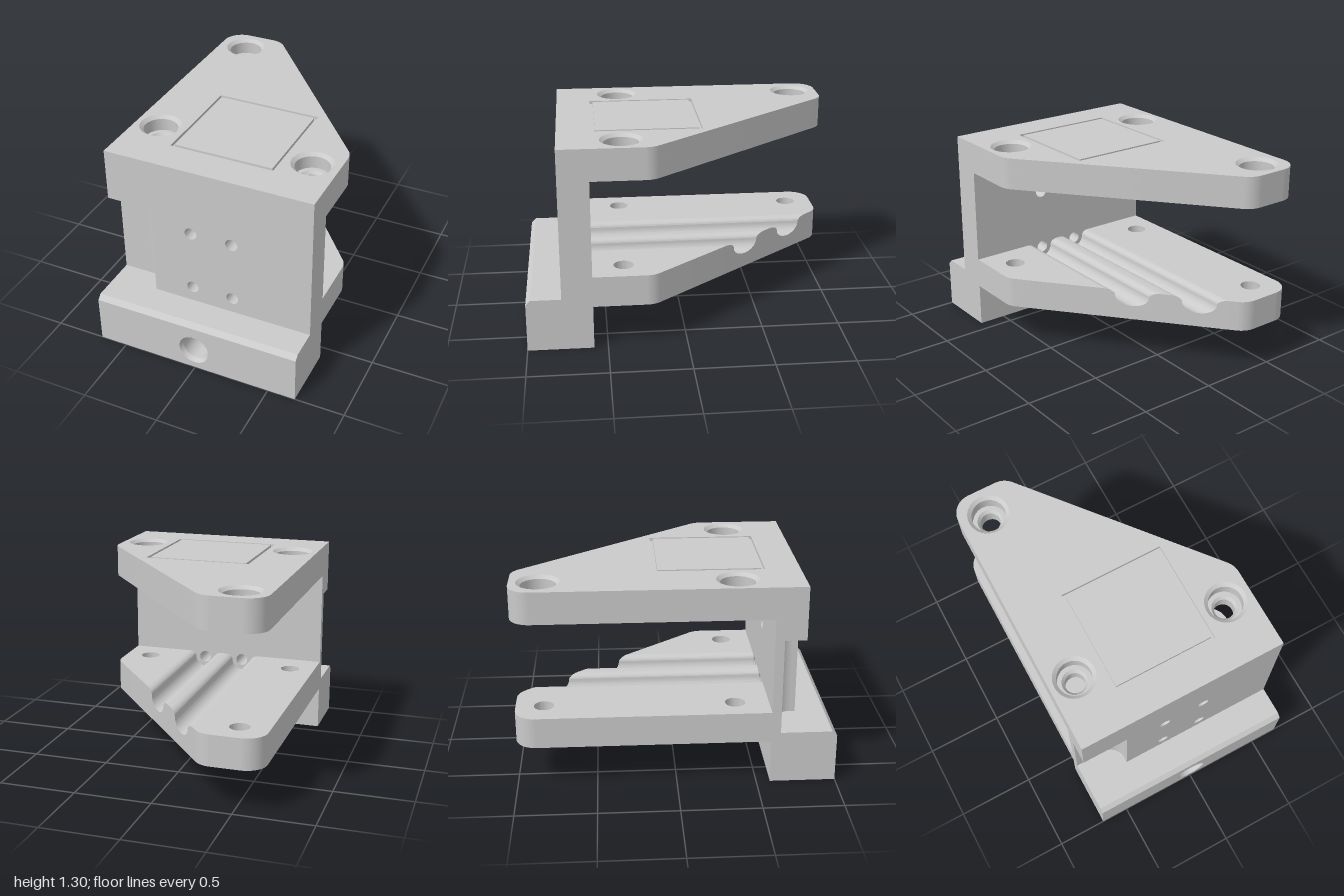
import * as THREE from 'three';
import { toCreasedNormals } from 'three/addons/utils/BufferGeometryUtils.js';

const HALF = 0.68, BACK = 0.587, FRONT = 0.78, PI = Math.PI;
const R = 0.13, TILT = -0.683;                                // plate corner radius, normal angle of slanted edge
const slant = x => -0.952 + (x + 0.263) * 1.2287;             // z of the slanted edge
const BOLTS = [[-0.495, -0.823], [-0.516, 0.373], [0.51, 0.389]];
const GROOVES = [0.16, -0.113];

export function createModel() {
  const model = new THREE.Group();
  const grey = new THREE.MeshStandardMaterial({ color: 0xcacaca });
  grey.name = 'plain grey';

  const add = (name, geometry) => {
    const mesh = new THREE.Mesh(toCreasedNormals(geometry, 0.45), grey);
    mesh.name = name;
    model.add(mesh);
  };
  const extrude = (shape, depth) =>
    new THREE.ExtrudeGeometry(shape, { depth, bevelEnabled: false, curveSegments: 24 });
  // shape drawn in (x, z), raised from y0 to y1
  const slab = (name, shape, y0, y1) =>
    add(name, extrude(shape, y1 - y0).rotateX(PI / 2).translate(0, y1, 0));
  // shape drawn in (x, y), running from z0 to z1
  const panel = (name, shape, z0, z1) => add(name, extrude(shape, z1 - z0).translate(0, 0, z0));
  const poly = pts => new THREE.Shape(pts.map(p => new THREE.Vector2(...p)));
  const rect = (x0, y0, x1, y1) => poly([[x0, y0], [x1, y0], [x1, y1], [x0, y1]]);
  const round = (x, y, r) => new THREE.Path().absarc(x, y, r, 0, 2 * PI, false);
  const hex = (x, y, r) => new THREE.Path(Array.from({ length: 6 }, (_, i) =>
    new THREE.Vector2(x + r * Math.sin(i * PI / 3), y + r * Math.cos(i * PI / 3))));
  const pierce = (shape, holes) => { shape.holes.push(...holes); return shape; };
  // inward-facing sloped ring, from radius r1 at height y1 down to r0 at y0
  const cone = (r1, y1, r0, y0, sides = 48) =>
    new THREE.LatheGeometry([new THREE.Vector2(r1, y1), new THREE.Vector2(r0, y0)], sides);

  // Straight side and rounded rear end shared by both plates
  const rearEnd = z => new THREE.Shape().moveTo(-HALF, z).lineTo(-HALF, -0.87)
    .absarc(-0.55, -0.87, R, PI, 1.5 * PI, false)
    .absarc(-0.364, -0.87, R, -PI / 2, TILT, false);

  // Top plate: outline with three counterbored bolt holes
  const outline = () => rearEnd(FRONT)
    .absarc(0.55, 0.253, R, TILT, 0, false)
    .lineTo(HALF, FRONT);
  const bored = r => pierce(outline(), BOLTS.map(([x, z]) => round(x, z, r)));
  slab('topPlateLower', bored(0.063), 1.097, 1.18);
  slab('topPlateSeat', bored(0.08), 1.18, 1.2);
  slab('topPlateBore', bored(0.108), 1.2, 1.28);
  slab('topPlateSurface', pierce(bored(0.132), [rect(-0.345, -0.123, 0.338, 0.56)]), 1.28, 1.3);
  slab('squareInsideGroove', rect(-0.325, -0.103, 0.318, 0.54), 1.28, 1.3);
  for (const [x, z] of BOLTS) {
    add('counterboreChamfer', cone(0.132, 1.3, 0.108, 1.28).translate(x, 0, z));
    add('boltHoleChamfer', cone(0.08, 1.2, 0.063, 1.18).translate(x, 0, z));
  }

  // Bottom plate: two flat sides with bolt holes and hexagonal nut pockets
  const UNDER = 0.282;
  const gx0 = GROOVES[1] - 0.12, gx1 = GROOVES[0] + 0.12;
  const leftSide = () => rearEnd(BACK).lineTo(gx0, slant(gx0)).lineTo(gx0, BACK);
  const rightSide = () => new THREE.Shape().moveTo(gx1, BACK)
    .lineTo(gx1, slant(gx1))
    .absarc(0.55, 0.253, R, TILT, 0, false)
    .lineTo(HALF, BACK);
  for (const [side, bolts] of [[leftSide, BOLTS.slice(0, 2)], [rightSide, BOLTS.slice(2)]]) {
    const layer = (name, hole, r, y0, y1) =>
      slab(name, pierce(side(), bolts.map(([x, z]) => hole(x, z, r))), y0, y1);
    layer('bottomPlateRim', hex, 0.147, UNDER, 0.305);
    layer('bottomPlateNutPocket', hex, 0.125, 0.305, 0.385);
    layer('bottomPlateUpper', round, 0.063, 0.385, 0.48);
  }
  for (const [x, z] of BOLTS)
    add('nutPocketChamfer', cone(0.125, 0.305, 0.147, UNDER, 6).translate(x, 0, z));

  // Bottom plate middle: two rounded grooves, rear end trimmed to the slanted edge
  const profile = new THREE.Shape().moveTo(gx0, UNDER).lineTo(gx1, UNDER);
  for (const c of GROOVES) profile
    .absellipse(c + 0.12, 0.445, 0.05, 0.035, PI / 2, PI, false)
    .absarc(c, 0.445, 0.07, 0, -PI, true)
    .absellipse(c - 0.12, 0.445, 0.05, 0.035, 0, PI / 2, false);
  const grooved = extrude(profile, 1);
  const pos = grooved.attributes.position;
  for (let i = 0; i < pos.count; i++)
    pos.setZ(i, pos.getZ(i) < 0.5 ? slant(pos.getX(i)) : BACK);
  add('groovedMiddle', grooved);

  // Upright wall: full rear layer, front layer notched on one side, four screw holes
  const screws = () => GROOVES.flatMap(x => [0.445, 0.855].map(y => round(x, y, 0.04)));
  const STEP = 0.645, NOTCH = -0.38;
  panel('wallRear', pierce(rect(-HALF, 0.34, HALF, 1.097), screws()), BACK, STEP);
  panel('wallFront', pierce(poly([[NOTCH, 0.34], [HALF, 0.34], [HALF, 1.097], [-HALF, 1.097],
    [-HALF, 0.96], [NOTCH, 0.96]]), screws()), STEP, FRONT);
  slab('notchFillet', new THREE.Shape().moveTo(NOTCH, STEP).lineTo(NOTCH, STEP + 0.1)
    .absarc(NOTCH - 0.1, STEP + 0.1, 0.1, 0, -PI / 2, true), 0.34, 0.96);

  // Base block with a blind front bore and a chamfered upper edge
  const HX = -0.005, HY = 0.14;
  const block = (top, holes) => pierce(rect(-HALF, 0, HALF, top), holes);
  panel('baseRear', block(0.34, []), BACK, 0.7);
  panel('baseBore', block(0.34, [round(HX, HY, 0.085)]), 0.7, 0.97);
  panel('baseFront', block(0.31, [round(HX, HY, 0.1)]), 0.97, 1);
  add('baseEdgeChamfer', extrude(poly([[-0.97, 0.31], [-0.97, 0.34], [-1, 0.31]]), 2 * HALF)
    .translate(0, 0, -HALF).rotateY(PI / 2));
  for (const [r1, z1, r0, z0] of [[0.1, 1, 0.085, 0.97], [0.085, 0.72, 0.07, 0.7]])
    add('baseBoreChamfer', cone(r1, z1, r0, z0).rotateX(PI / 2).translate(HX, HY, 0));

  return model;
}
